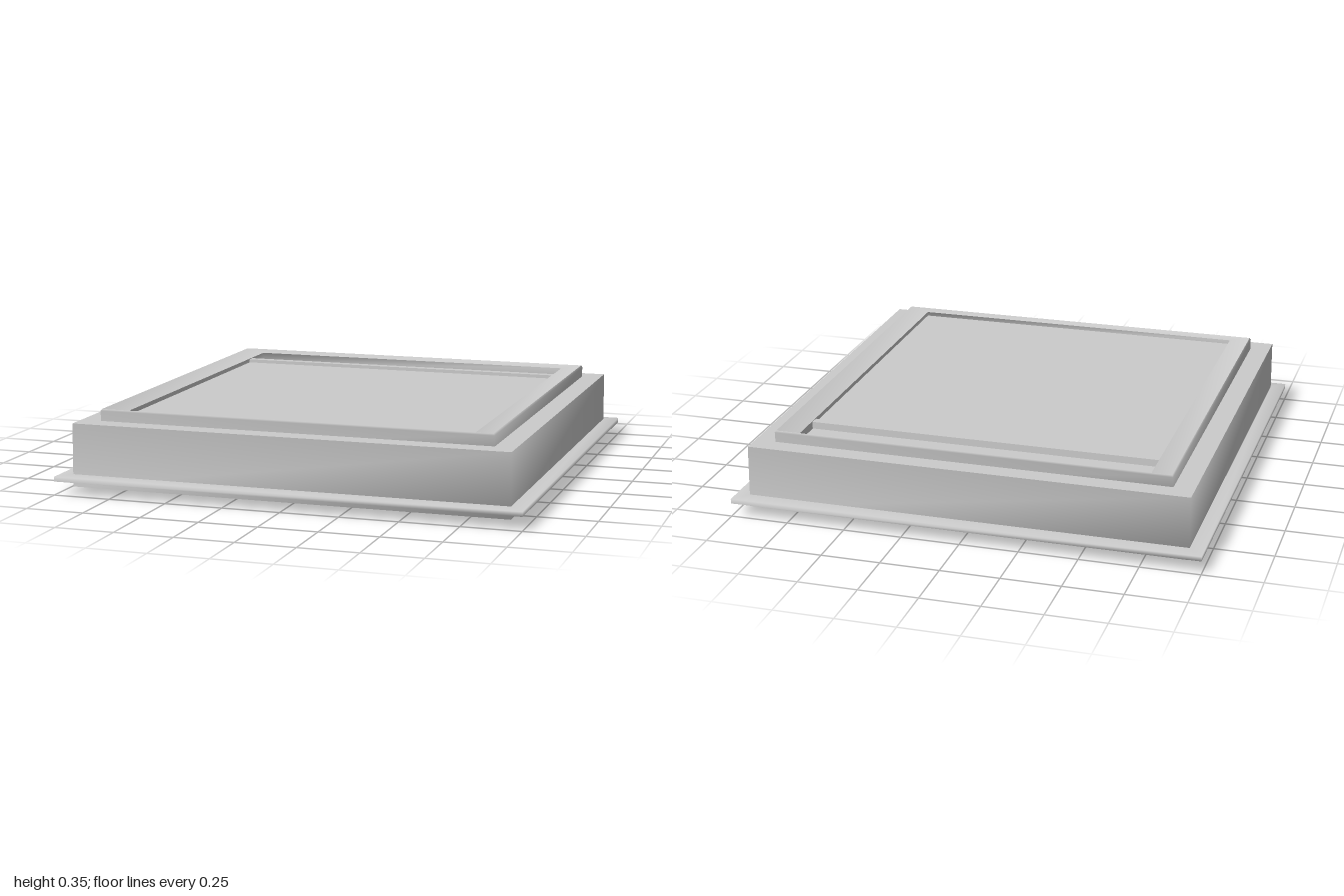
import * as THREE from 'three';

export function createModel() {
  const model = new THREE.Group();
  const grey = new THREE.MeshStandardMaterial({ color: 0xcccccc, side: THREE.DoubleSide });
  grey.name = 'light grey';

  const add = (name, geometry, parent = model) => {
    const mesh = new THREE.Mesh(geometry, grey);
    mesh.name = name;
    parent.add(mesh);
    return mesh;
  };

  // Rectangular ring made of smooth strips, with hard edges only between strips.
  // Each profile point is [half width, y, back z, front z], up the outside and down the inside.
  function frame(name, strips) {
    const group = new THREE.Group();
    group.name = name;
    model.add(group);
    for (const strip of strips) {
      const pos = [], index = [];
      strip.forEach(([w, y, back = -w, front = w], i) => {
        pos.push(-w, y, front, w, y, front, w, y, back, -w, y, back);
        if (i === 0) return;
        for (let k = 0; k < 4; k++) {
          const n = (k + 1) % 4, a = (i - 1) * 4, b = i * 4;
          index.push(a + k, a + n, b + n, a + k, b + n, b + k);
        }
      });
      const g = new THREE.BufferGeometry();
      g.setAttribute('position', new THREE.Float32BufferAttribute(pos, 3));
      g.setIndex(index);
      g.computeVertexNormals();
      add(name + 'Face', g, group);
    }
  }

  function box(name, x0, x1, y0, y1, z0, z1) {
    const m = add(name, new THREE.BoxGeometry(x1 - x0, y1 - y0, z1 - z0));
    m.position.set((x0 + x1) / 2, (y0 + y1) / 2, (z0 + z1) / 2);
  }

  function tube(name, points, radius, sides = 8) {
    const curve = new THREE.CatmullRomCurve3(points.map(p => new THREE.Vector3(...p)));
    add(name, new THREE.TubeGeometry(curve, 24, radius, sides));
  }

  // Curb with its hollow inside and stepped bottom lip
  frame('curb', [
    [[0.94, 0.028], [0.938, 0.297]],
    [[0.938, 0.297], [0.85, 0.297]],
    [[0.85, 0.297], [0.85, 0.06], [0.87, 0.028]],
    [[0.87, 0.028], [0.94, 0.028]]
  ]);
  // Thin flange round the foot
  frame('flange', [
    [[0.938, 0.056], [1, 0.058]],
    [[1, 0.058], [1, 0.078], [0.938, 0.081]]
  ]);

  // Sash: raised rim, gentle slope, step to the pane, rounded underside
  frame('sash', [
    [[0.848, 0.2, -0.848, 0.848], [0.848, 0.34, -0.86, 0.853], [0.843, 0.348, -0.855, 0.849]],
    [[0.843, 0.348, -0.855, 0.849], [0.752, 0.333, -0.832, 0.832]],
    [[0.752, 0.333, -0.832, 0.832], [0.752, 0.285, -0.832, 0.832]],
    [[0.61, 0.285], [0.595, 0.25], [0.6, 0.21], [0.625, 0.175], [0.665, 0.155],
      [0.71, 0.152], [0.755, 0.165], [0.79, 0.19], [0.848, 0.2]]
  ]);

  // Pane, rear slot floor and the bar between them
  box('pane', -0.752, 0.752, 0.28, 0.315, -0.645, 0.832);
  box('slotFloor', -0.752, 0.752, 0.28, 0.3, -0.832, -0.68);
  box('crossBar', -0.752, 0.752, 0.28, 0.33, -0.68, -0.642);

  // Turned knob hanging under the pane
  const knob = add('knob', new THREE.LatheGeometry(
    [[0, 0], [0.025, 0.012], [0.042, 0.03], [0.042, 0.1], [0.065, 0.125], [0.075, 0.155], [0.06, 0.185], [0.03, 0.2], [0.025, 0.282]]
      .map(p => new THREE.Vector2(...p)), 20));
  knob.position.set(-0.04, 0, -0.05);

  // Bent operating arm
  tube('operatingArm', [[0.62, 0.21, 0.42], [0.36, 0.2, 0.38], [0.17, 0.2, 0.27], [0.14, 0.2, 0], [0.15, 0.21, -0.32], [0.16, 0.22, -0.45]], 0.055, 14);

  // Stay rods along three sides, each a narrow pair meeting at one end
  const stays = [
    [[0.6, 0.1, -0.68], [-0.62, 0.035, -0.57]],
    [[0.76, 0.1, 0.67], [0.56, 0.05, -0.27]],
    [[0.7, 0.08, 0.65], [-0.46, 0.06, 0.62]]
  ];
  for (const [a, b] of stays) {
    tube('stayRod', [a, b], 0.013, 6);
    tube('stayRod', [[a[0], a[1] + 0.07, a[2]], b], 0.013, 6);
  }
  // Low bent catch on the rear stay
  tube('stayCatch', [[-0.62, 0.034, -0.57], [-0.3, 0.028, -0.57], [-0.04, 0.025, -0.58], [0.22, 0.04, -0.6]], 0.013, 6);

  // Corner brackets
  for (const [x, z] of [[-0.7, -0.64], [-0.78, 0.74], [0.74, 0.66], [0.68, -0.7]]) {
    const bracket = new THREE.Group();
    bracket.name = 'cornerBracket';
    bracket.position.set(x, 0.13, z);
    model.add(bracket);
    add('bracketPost', new THREE.BoxGeometry(0.03, 0.12, 0.03), bracket);
    const foot = add('bracketFoot', new THREE.BoxGeometry(0.08, 0.025, 0.04), bracket);
    foot.position.set(-Math.sign(x) * 0.025, -0.05, 0);
  }
  return model;
}
